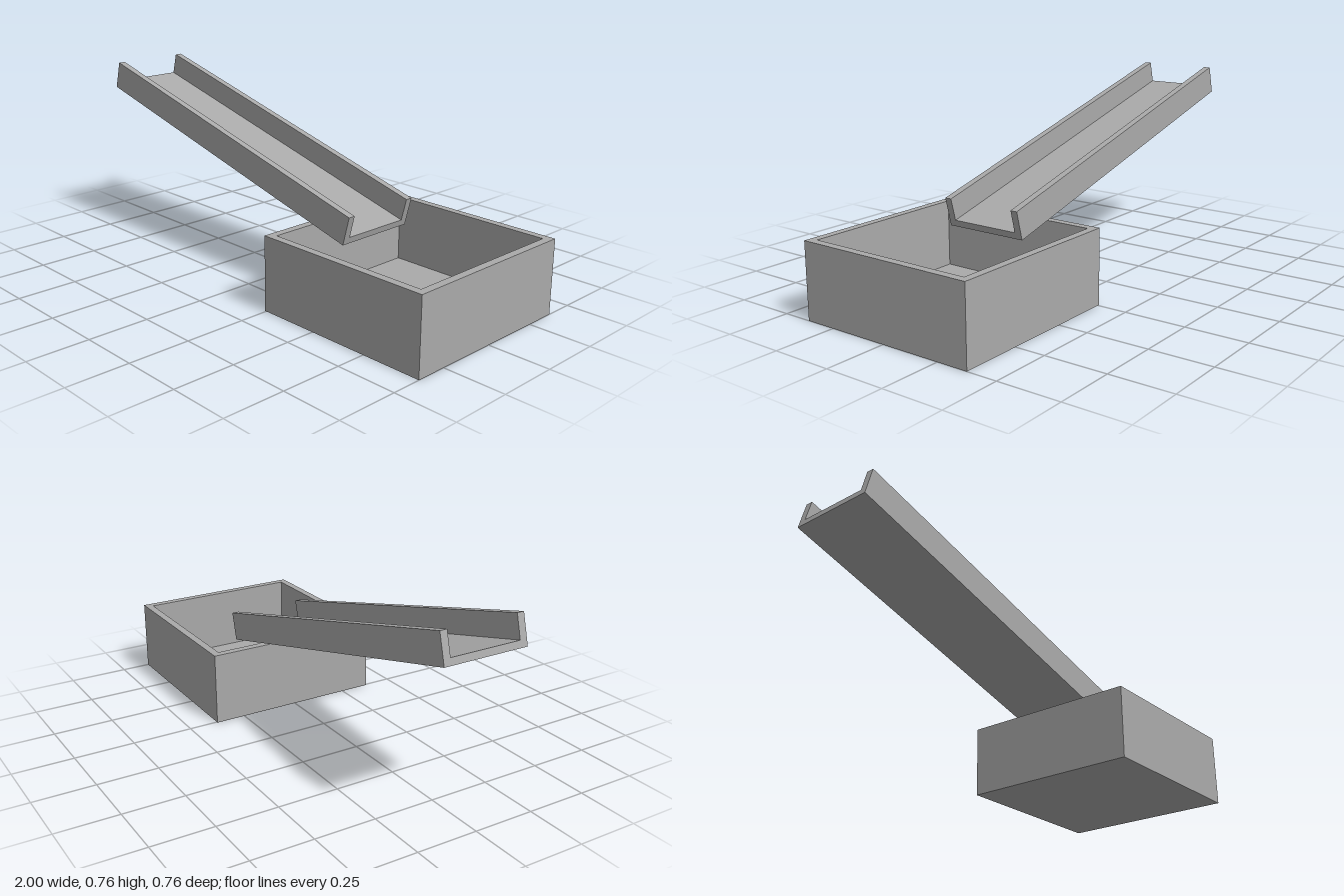
import * as THREE from 'three';

const gray = new THREE.MeshStandardMaterial({ color: 0xaaaaaa });
gray.name = 'plain gray';

function part(name, geometry, parent) {
  const mesh = new THREE.Mesh(geometry, gray);
  mesh.name = name;
  parent.add(mesh);
  return mesh;
}

function polygon(points, Type = THREE.Shape) {
  return new Type(points.map(([x, y]) => new THREE.Vector2(x, y)));
}

const square = (r) => [[-r, -r], [r, -r], [r, r], [-r, r]];

// Open square bin: a hollow rim wall standing around a floor plate
function createBin() {
  const bin = new THREE.Group();
  bin.name = 'bin';
  const half = 0.378, height = 0.303, wall = 0.032;
  const inner = half - wall;

  const outline = polygon(square(half));
  outline.holes.push(polygon(square(inner), THREE.Path));
  const walls = new THREE.ExtrudeGeometry(outline, { depth: height, bevelEnabled: false });
  walls.rotateX(-Math.PI / 2);
  part('binWalls', walls, bin);

  const floor = new THREE.BoxGeometry(inner * 2, wall, inner * 2);
  part('binFloor', floor, bin).position.y = wall / 2;

  bin.position.x = 1 - half;
  return bin;
}

// Sloping U-shaped chute, extruded along its length
function createChute() {
  const length = 1.5, half = 0.174, inner = 0.145, top = 0.0595, floor = -0.0325;
  const profile = polygon([
    [-half, -top], [half, -top], [half, top], [inner, top],
    [inner, floor], [-inner, floor], [-inner, top], [-half, top],
  ]);
  const geometry = new THREE.ExtrudeGeometry(profile, { depth: length, bevelEnabled: false });
  geometry.translate(0, 0, -length / 2);
  geometry.rotateY(Math.PI / 2);

  const chute = new THREE.Group();
  chute.name = 'chute';
  part('chuteTrough', geometry, chute);
  chute.position.set(-0.26, 0.516, 0);
  chute.rotation.z = -THREE.MathUtils.degToRad(14.7);
  return chute;
}

export function createModel() {
  const model = new THREE.Group();
  model.name = 'chuteAndBin';
  model.add(createBin(), createChute());
  return model;
}
